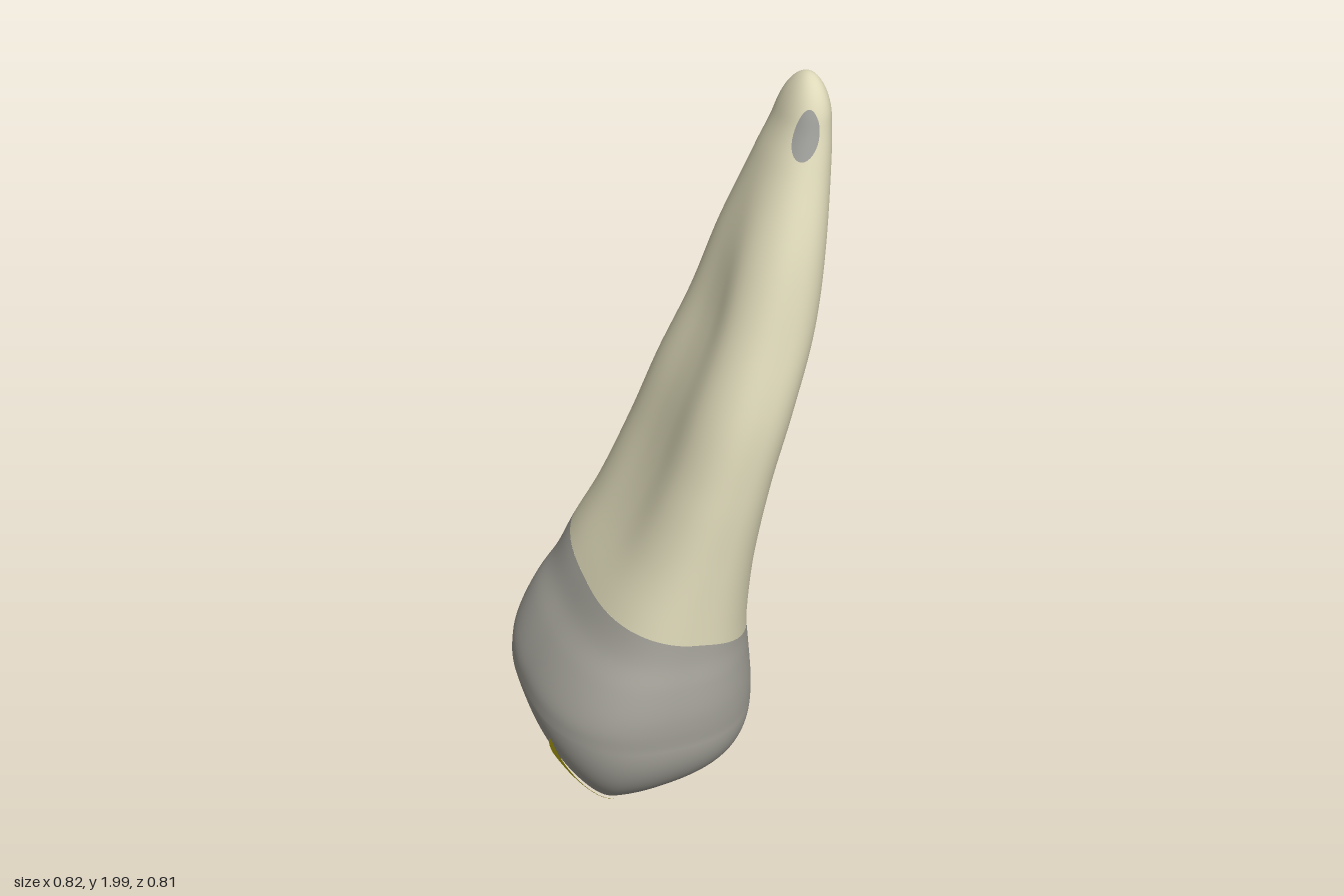
import * as THREE from 'three';

// Outline by height: y, then x min, x max, z min, z max
const KEYS = [
  [0.30, -0.41, 0.213, -0.40, 0.40],
  [0.35, -0.403, 0.211, -0.402, 0.404],
  [0.40, -0.383, 0.206, -0.40, 0.404],
  [0.48, -0.337, 0.197, -0.388, 0.395],
  [0.55, -0.285, 0.19, -0.37, 0.382],
  [0.65, -0.235, 0.19, -0.345, 0.375],
  [0.80, -0.155, 0.195, -0.295, 0.37],
  [1.00, -0.07, 0.225, -0.245, 0.367],
  [1.20, 0.0, 0.28, -0.20, 0.355],
  [1.40, 0.08, 0.34, -0.15, 0.315],
  [1.60, 0.15, 0.38, -0.12, 0.265],
  [1.80, 0.235, 0.405, -0.07, 0.19],
  [1.90, 0.28, 0.407, -0.042, 0.155],
  [2.00, 0.305, 0.405, -0.025, 0.135],
];
const outline = new THREE.CubicInterpolant(
  new Float32Array(KEYS.map((k) => k[0])),
  new Float32Array(KEYS.flatMap((k) => k.slice(1))), 4);

function section(y) {
  const [x0, x1, z0, z1] = outline.evaluate(y);
  // rounded apex
  const cap = y > 1.9 ? Math.sqrt(Math.max(0, 1 - ((y - 1.9) / 0.1) ** 2)) : 1;
  return { cx: (x0 + x1) / 2, cz: (z0 + z1) / 2, a: cap * (x1 - x0) / 2, b: cap * (z1 - z0) / 2 };
}

const gauss = (d, w) => Math.exp(-((d / w) ** 2));
const angleGap = (t, t0) => Math.atan2(Math.sin(t - t0), Math.cos(t - t0));
const pow = (v, e) => Math.sign(v) * Math.abs(v) ** e;

// Point on the side wall, with a lengthwise root groove on each broad side
function wall(t, y, grow = 1) {
  const { cx, cz, a, b } = section(y);
  const depth = THREE.MathUtils.smoothstep(y, 0.58, 1.0) * (1 - THREE.MathUtils.smoothstep(y, 1.35, 1.8));
  const n = 2.5 - 0.35 * THREE.MathUtils.smoothstep(y, 1.3, 1.8);
  const groove = 0.2 * gauss(angleGap(t, Math.PI), 0.38) + 0.17 * gauss(angleGap(t, 0), 0.36);
  const rx = grow * (1 + depth * (0.05 - groove));
  return [cx + a * rx * pow(Math.cos(t), 2 / n), y, cz + b * grow * pow(Math.sin(t), 2 / n)];
}

// Height of the chewing surface: two cusps with a groove between them
const RIM = 0.3;
function cusp(x, z, c) {
  const dx = x - c.x, dz = z - c.z;
  const kx = dx > 0 ? c.right : c.left, kz = dz > 0 ? c.front : c.back;
  return c.y + Math.hypot(dx * kx, dz * kz, 0.02) - 0.02;
}
const FRONT_CUSP = { x: -0.23, y: 0.03, z: 0.2, right: 0.33, left: 0.9, front: 0.6, back: 0.48 };
const BACK_CUSP = { x: -0.17, y: 0, z: -0.27, right: 0.27, left: 0.9, front: 0.5, back: 0.9 };
function biteHeight(x, z) {
  const { cx, cz, a, b } = section(RIM);
  const s = Math.min(1, (Math.abs((x - cx) / a) ** 2.5 + Math.abs((z - cz) / b) ** 2.5) ** 0.4);
  const h = Math.min(cusp(x, z, FRONT_CUSP), cusp(x, z, BACK_CUSP)) + 0.03 * gauss(Math.hypot(x + 0.03, z), 0.1);
  return h + (RIM - h) * (1 - Math.sqrt(1 - s ** 8));
}

// Wavy border between crown and root
const border = (t) => 0.6075 - 0.055 * Math.cos(t) - 0.025 * Math.sin(t) - 0.0175 * Math.cos(2 * t);

// Closed-ring surface from a rule (angle, v in 0..1)
function surface(name, material, nu, nv, rule) {
  const pos = [], idx = [];
  for (let j = 0; j <= nv; j++)
    for (let i = 0; i < nu; i++) pos.push(...rule((i / nu) * Math.PI * 2, j / nv));
  for (let j = 0; j < nv; j++)
    for (let i = 0; i < nu; i++) {
      const a = j * nu + i, b = j * nu + (i + 1) % nu;
      idx.push(a, a + nu, b, b, a + nu, b + nu);
    }
  const geo = new THREE.BufferGeometry();
  geo.setAttribute('position', new THREE.Float32BufferAttribute(pos, 3));
  geo.setIndex(idx);
  geo.computeVertexNormals();
  const mesh = new THREE.Mesh(geo, material);
  mesh.name = name;
  return mesh;
}

function paint(name, color) {
  const m = new THREE.MeshStandardMaterial({ color });
  m.name = name;
  return m;
}

export function createModel() {
  const group = new THREE.Group();
  group.name = 'tooth';
  const ivory = paint('ivory', 0xddd8b8);
  const enamel = paint('enamel grey', 0xa5a39a);
  const yellow = paint('wear yellow', 0xd0c010);
  const spotGrey = paint('spot grey', 0x9c9c98);

  // Root, from the border up to the rounded tip
  group.add(surface('root', ivory, 96, 80, (t, v) => {
    const y0 = border(t);
    return wall(t, y0 + (2 - y0) * Math.sin(v * Math.PI / 2));
  }));

  // Crown: chewing surface first, then the side wall up to the border
  group.add(surface('crown', enamel, 128, 80, (t, v) => {
    if (v > 0.7) return wall(t, RIM + (border(t) - RIM) * (v - 0.7) / 0.3);
    const s = Math.sin((v / 0.7) * Math.PI / 2);
    const [ex, , ez] = wall(t, RIM);
    const { cx, cz } = section(RIM);
    const x = cx + (ex - cx) * s, z = cz + (ez - cz) * s;
    return [x, biteHeight(x, z), z];
  }));

  // Worn facet along the front cusp
  group.add(surface('wearFacet', yellow, 64, 20, (t, v) => {
    const u = v * Math.cos(t);
    const x = -0.17 + 0.215 * u, z = 0.208 + 0.066 * v * Math.sin(t) + 0.012 * u;
    return [x + 0.006 * Math.min(u, 0), biteHeight(x, z) - 0.007, z + 0.004];
  }));

  // Small spot near the root tip
  group.add(surface('rootSpot', spotGrey, 32, 6, (t, v) =>
    wall(1.93 + 0.42 * v * Math.cos(t), 1.875 - 0.058 * v * Math.sin(t), 1.03)));

  return group;
}
